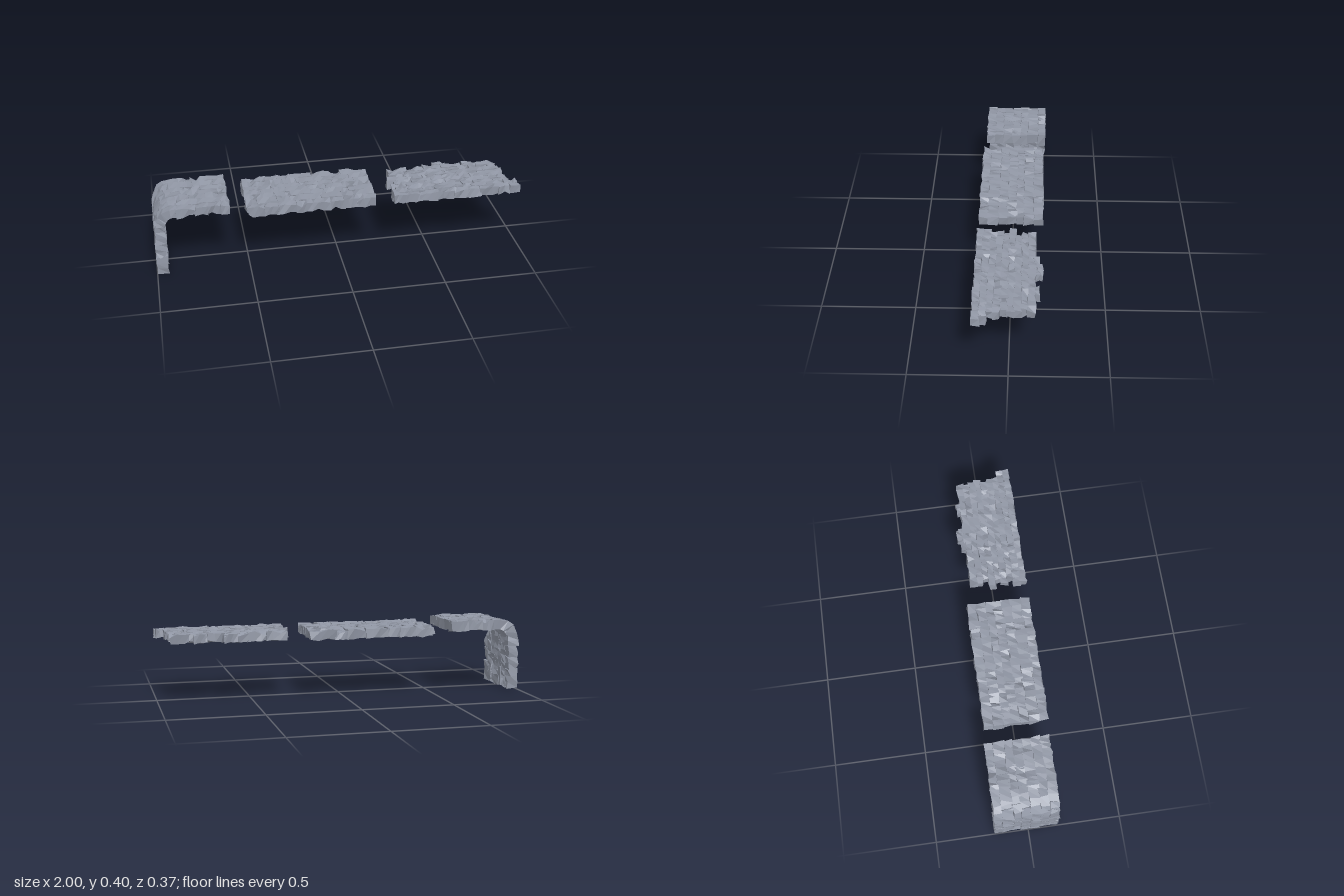
import * as THREE from 'three';
import { mergeGeometries } from 'three/addons/utils/BufferGeometryUtils.js';

let seed = 7;
const rand = () => {
  seed = (seed * 16807) % 2147483647;
  return seed / 2147483647;
};
const between = (a, b) => a + (b - a) * rand();
const jitter = (a) => between(-a, a);

// One rough stone: a box whose shared points are nudged alike, some chipped inward
function stone(s0, s1, z0, z1, thick) {
  const long = s1 - s0;
  const g = new THREE.BoxGeometry(long, thick, z1 - z0, long > 0.07 ? 3 : 2, 1, 1);
  const p = g.attributes.position;
  const nudges = new Map();
  for (let i = 0; i < p.count; i++) {
    const key = [p.getX(i), p.getY(i), p.getZ(i)].map((v) => Math.round(v * 1e4)).join();
    if (!nudges.has(key)) {
      const chip = rand() < 0.14 ? between(0.006, 0.018) : 0;
      nudges.set(key, [jitter(0.006), jitter(0.005) - Math.sign(p.getY(i)) * chip, jitter(0.006)]);
    }
    const [a, b, c] = nudges.get(key);
    p.setXYZ(i, p.getX(i) + (s0 + s1) / 2 + a, p.getY(i) + b, p.getZ(i) + (z0 + z1) / 2 + c);
  }
  return g;
}

// A course of stones laid end to end with staggered joints
function course(s0, s1, z0, z1, thick) {
  const out = [];
  let s = s0;
  let first = true;
  while (s < s1 - 0.001) {
    let e = s + between(first ? 0.04 : 0.065, 0.12);
    if (s1 - e < 0.04) e = s1;
    out.push(stone(s, e, z0 - 0.002, z1 + 0.002, thick));
    s = e - (e < s1 ? 0.003 : 0);
    first = false;
  }
  return out;
}

// Lay all courses, then place each point (length, height) by a rule
function slab(name, courses, thick, place) {
  const g = mergeGeometries(courses.flatMap(([s0, s1, z0, z1]) => course(s0, s1, z0, z1, thick)));
  const p = g.attributes.position;
  for (let i = 0; i < p.count; i++) {
    const [x, y] = place(p.getX(i), p.getY(i));
    p.setXY(i, THREE.MathUtils.clamp(x, -1, 1), Math.max(y, 0));
  }
  g.computeVertexNormals();
  const mesh = new THREE.Mesh(g, new THREE.MeshStandardMaterial({ color: 0x9197a5, flatShading: true }));
  mesh.name = name;
  return mesh;
}

// Equal courses across the depth with slightly uneven ends
function evenCourses(s0, s1, z0, z1, n) {
  const edges = Array.from({ length: n + 1 }, (_, i) =>
    z0 + ((z1 - z0) * i) / n + (i > 0 && i < n ? jitter(0.006) : 0));
  return edges.slice(0, n).map((z, i) => [s0 + between(0, 0.006), s1 - between(0, 0.006), z, edges[i + 1]]);
}

// Bend: upright leg, quarter turn, then level top
function bend(s, h) {
  const leg = 0.29, r = 0.08, cx = -0.888;
  const arc = (r * Math.PI) / 2;
  if (s < leg) return [cx - r - h * 1.1, s];
  if (s > leg + arc) return [cx + s - leg - arc, leg + r + h];
  const a = (s - leg) / r;
  return [cx - (r + h) * Math.cos(a), leg + (r + h) * Math.sin(a)];
}

export function createModel() {
  const model = new THREE.Group();
  model.name = 'stoneLedges';

  // Ledge that turns down into a leg
  model.add(slab('cornerLedge', evenCourses(0.003, 0.709, -0.18, 0.159, 7), 0.054, bend));

  // Straight middle ledge
  const level = (s, h) => [s, 0.345 + h];
  model.add(slab('middleLedge', evenCourses(-0.507, 0.195, -0.165, 0.173, 7), 0.053, level));

  // Broken ledge: ragged course ends and loose stones along the back
  const ends = [[0.31, 0.935], [0.315, 0.93], [0.335, 0.94], [0.29, 0.95],
    [0.32, 0.93], [0.3, 0.945], [0.315, 0.95], [0.288, 0.99], [0.29, 0.997]];
  const depth = 0.302 / ends.length;
  const broken = ends.map(([a, b], i) => [a, b, -0.127 + i * depth, -0.127 + (i + 1) * depth]);
  broken.push([0.525, 0.66, -0.15, -0.123], [0.58, 0.65, -0.164, -0.14], [0.75, 0.815, -0.145, -0.123]);
  model.add(slab('brokenLedge', broken, 0.048, level));

  return model;
}
